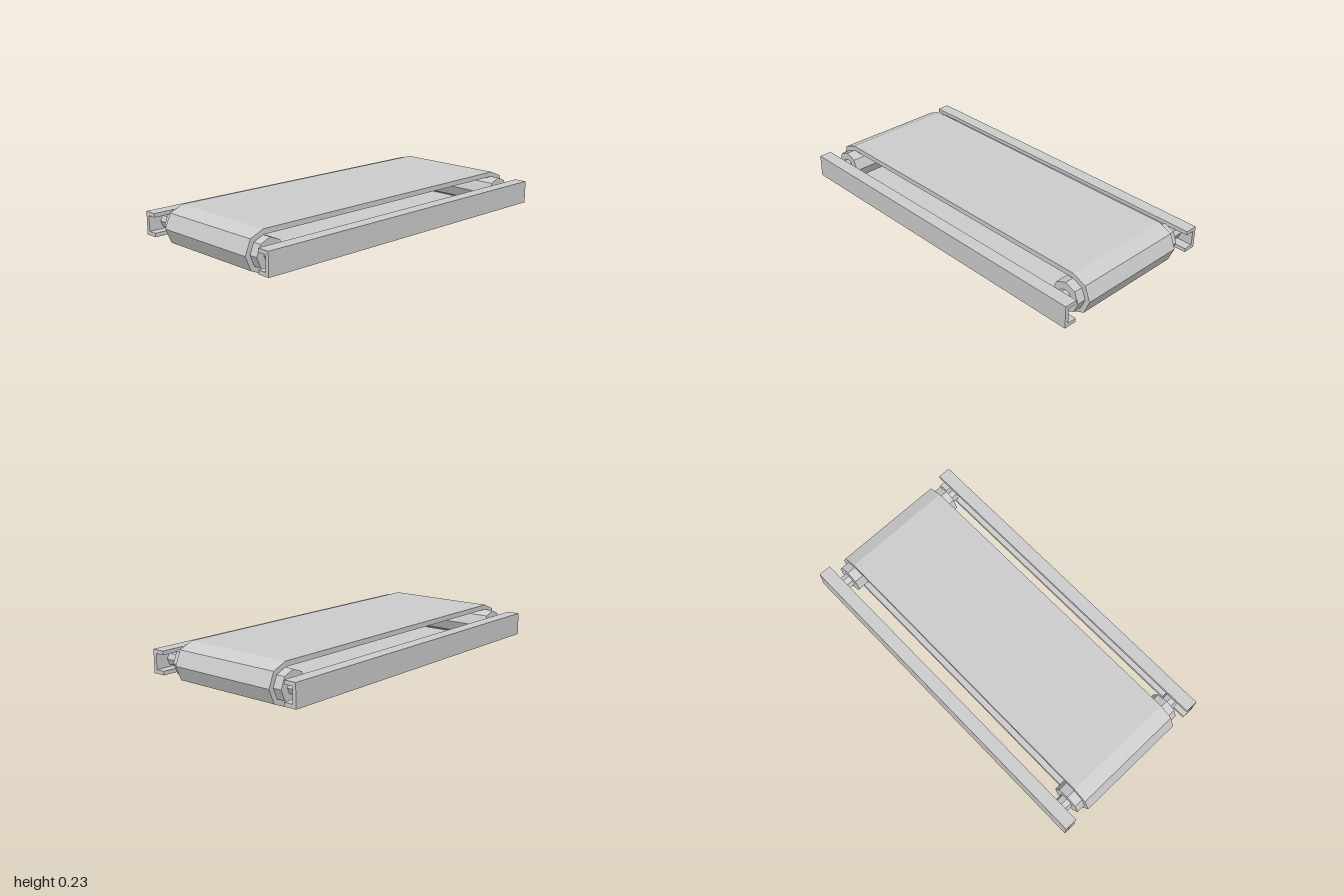
import * as THREE from 'three';

const AXIS_Y = 0.1135; // height of the roller axes
const END_Z = 0.8865; // distance of the roller axes from the middle

// Closed loop of two half octagons joined by straight runs
function loopPoints(radius) {
  const points = [];
  for (const end of [0, 1]) {
    for (let i = 0; i <= 4; i++) {
      const a = -Math.PI / 2 + end * Math.PI + (i * Math.PI) / 4;
      const centre = end ? -END_Z : END_Z;
      points.push(new THREE.Vector2(centre + radius * Math.cos(a), AXIS_Y + radius * Math.sin(a)));
    }
  }
  return points;
}

// Extrudes a shape by a depth, centred on its own depth axis
function extrudeCentred(shape, depth) {
  const geometry = new THREE.ExtrudeGeometry(shape, { depth, bevelEnabled: false });
  return geometry.translate(0, 0, -depth / 2);
}

export function createModel() {
  const model = new THREE.Group();
  model.name = 'conveyor';
  const grey = new THREE.MeshStandardMaterial({ color: 0xcccccc, flatShading: true });
  grey.name = 'light grey';

  const add = (name, geometry, x = 0, y = 0, z = 0) => {
    const mesh = new THREE.Mesh(geometry, grey);
    mesh.name = name;
    mesh.position.set(x, y, z);
    model.add(mesh);
    return mesh;
  };

  // Hollow belt
  const beltShape = new THREE.Shape(loopPoints(0.1135));
  beltShape.holes.push(new THREE.Path(loopPoints(0.085).reverse()));
  add('belt', extrudeCentred(beltShape, 0.66).rotateY(Math.PI / 2));

  // Octagonal rollers with a stub shaft at each end
  const roller = new THREE.CylinderGeometry(0.085, 0.085, 0.762, 8).rotateZ(Math.PI / 2);
  const shaft = new THREE.CylinderGeometry(0.0425, 0.0425, 0.098, 8).rotateZ(Math.PI / 2);
  for (const [end, z] of [['front', END_Z], ['back', -END_Z]]) {
    add(end + 'Roller', roller, 0, AXIS_Y, z);
    add(end + 'LeftShaft', shaft, 0.43, AXIS_Y, z);
    add(end + 'RightShaft', shaft, -0.43, AXIS_Y, z);
  }

  // Channel rails, open towards the belt
  const bottom = 0.049, top = 0.178, wall = 0.0215, inner = 0.426, outer = 0.5;
  const railShape = new THREE.Shape([
    [inner, bottom], [outer, bottom], [outer, top], [inner, top],
    [inner, top - wall], [outer - wall, top - wall],
    [outer - wall, bottom + wall], [inner, bottom + wall],
  ].map(([x, y]) => new THREE.Vector2(x, y)));
  const rail = extrudeCentred(railShape, 2);
  add('leftRail', rail);
  add('rightRail', rail).rotation.y = Math.PI;

  return model;
}
